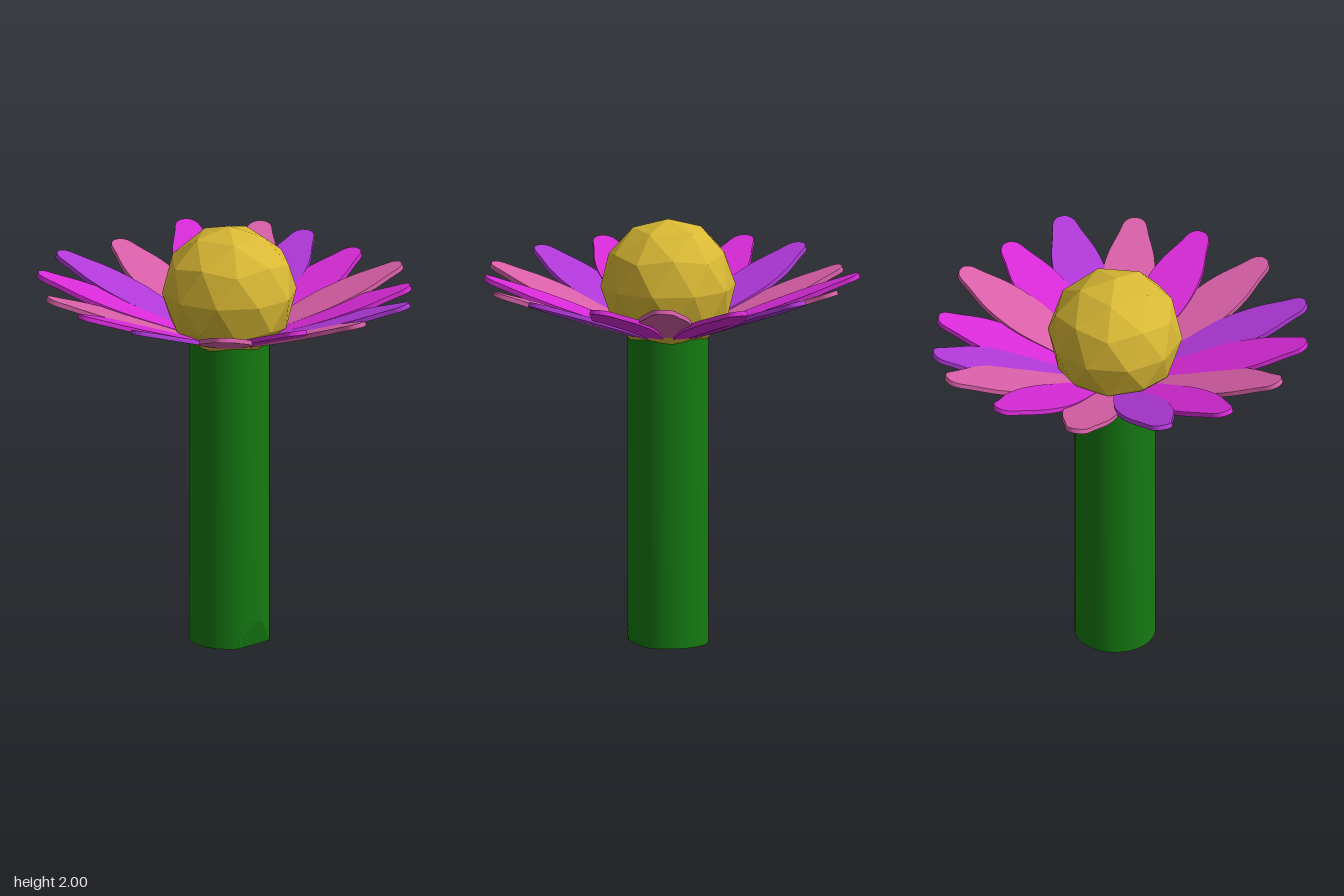
import * as THREE from 'three';
import { toCreasedNormals } from 'three/addons/utils/BufferGeometryUtils.js';

const CX = 0.035, CZ = -0.02; // flower axis
const PETAL_BASE_Y = 1.42;    // height where the petal planes meet the axis

const paint = (color, extra = {}) => new THREE.MeshStandardMaterial({ color, ...extra });

function part(name, geometry, material) {
  const mesh = new THREE.Mesh(geometry, material);
  mesh.name = name;
  return mesh;
}

// Round stem with a shallow flat chip at the foot of its front
function stemGeometry() {
  const r = 0.188, top = 1.47;
  const profile = [new THREE.Vector2(0, 0)];
  for (let i = 0; i <= 10; i++) profile.push(new THREE.Vector2(r, i * 0.013));
  profile.push(new THREE.Vector2(r, top), new THREE.Vector2(0, top));
  const geo = new THREE.LatheGeometry(profile, 64).rotateY(Math.PI);
  const pos = geo.attributes.position;
  for (let i = 0; i < pos.count; i++) {
    const limit = 0.16 + 0.028 * (pos.getY(i) / 0.125);
    if (pos.getZ(i) > limit) pos.setZ(i, limit);
  }
  return toCreasedNormals(geo, 0.15);
}

// Flat petal of unit length along +z, narrow at the base and blunt at the tip
function petalGeometry() {
  const side = [[0.045, 0.17], [0.085, 0.34], [0.118, 0.51], [0.123, 0.64],
    [0.108, 0.77], [0.07, 0.9], [0.052, 0.965], [0.028, 0.993]];
  const right = side.map(([x, y]) => new THREE.Vector2(x, y));
  const left = side.map(([x, y]) => new THREE.Vector2(-x, y)).reverse();
  const shape = new THREE.Shape();
  shape.moveTo(right[0].x, right[0].y);
  shape.splineThru([...right.slice(1), new THREE.Vector2(0, 1), ...left]);
  shape.closePath();
  const geo = new THREE.ExtrudeGeometry(shape, { depth: 0.022, bevelEnabled: false, curveSegments: 40 });
  return toCreasedNormals(geo.rotateX(Math.PI / 2), 0.6);
}

export function createModel() {
  const group = new THREE.Group();
  group.name = 'flower';

  const stem = part('stem', stemGeometry(), paint(0x157a12));
  stem.position.set(CX, 0, CZ);
  group.add(stem);

  // Faceted ball with one vertex pointing straight up
  const ball = new THREE.IcosahedronGeometry(0.315, 1)
    .rotateZ(-Math.atan(2 / (1 + Math.sqrt(5)))).rotateY(Math.PI / 2);
  const head = part('flowerHead', ball, paint(0xd9b834, { flatShading: true }));
  head.position.set(CX, 1.685, CZ);
  group.add(head);

  // Petals: tip x, tip z, tip height, colour
  const pink = paint(0xd95fa8), magenta = paint(0xd82ad8), purple = paint(0xb038d8);
  const tips = [
    [0.11, -0.86, 1.73, pink], [0.48, -0.79, 1.765, magenta],
    [0.75, -0.56, 1.75, pink], [0.84, -0.35, 1.735, purple],
    [0.86, -0.03, 1.715, magenta], [0.80, 0.33, 1.74, pink],
    [0.62, 0.58, 1.725, magenta], [0.39, 0.81, 1.735, purple],
    [0.05, 0.855, 1.725, pink], [-0.27, 0.77, 1.735, magenta],
    [-0.59, 0.60, 1.73, pink], [-0.82, 0.27, 1.74, purple],
    [-0.865, -0.065, 1.75, magenta], [-0.78, -0.38, 1.745, pink],
    [-0.57, -0.67, 1.76, magenta], [-0.29, -0.83, 1.765, purple],
  ];
  const petalGeo = petalGeometry();
  const petals = new THREE.Group();
  petals.name = 'petals';
  for (const [x, z, y, material] of tips) {
    const dx = x - CX, dz = z - CZ, rise = y - PETAL_BASE_Y;
    const reach = Math.hypot(dx, dz);
    const petal = part('petal', petalGeo, material);
    petal.position.set(CX, PETAL_BASE_Y, CZ);
    petal.rotation.set(-Math.atan2(rise, reach), Math.atan2(dx, dz), 0, 'YXZ');
    petal.scale.z = Math.hypot(reach, rise);
    petals.add(petal);
  }
  group.add(petals);
  return group;
}
